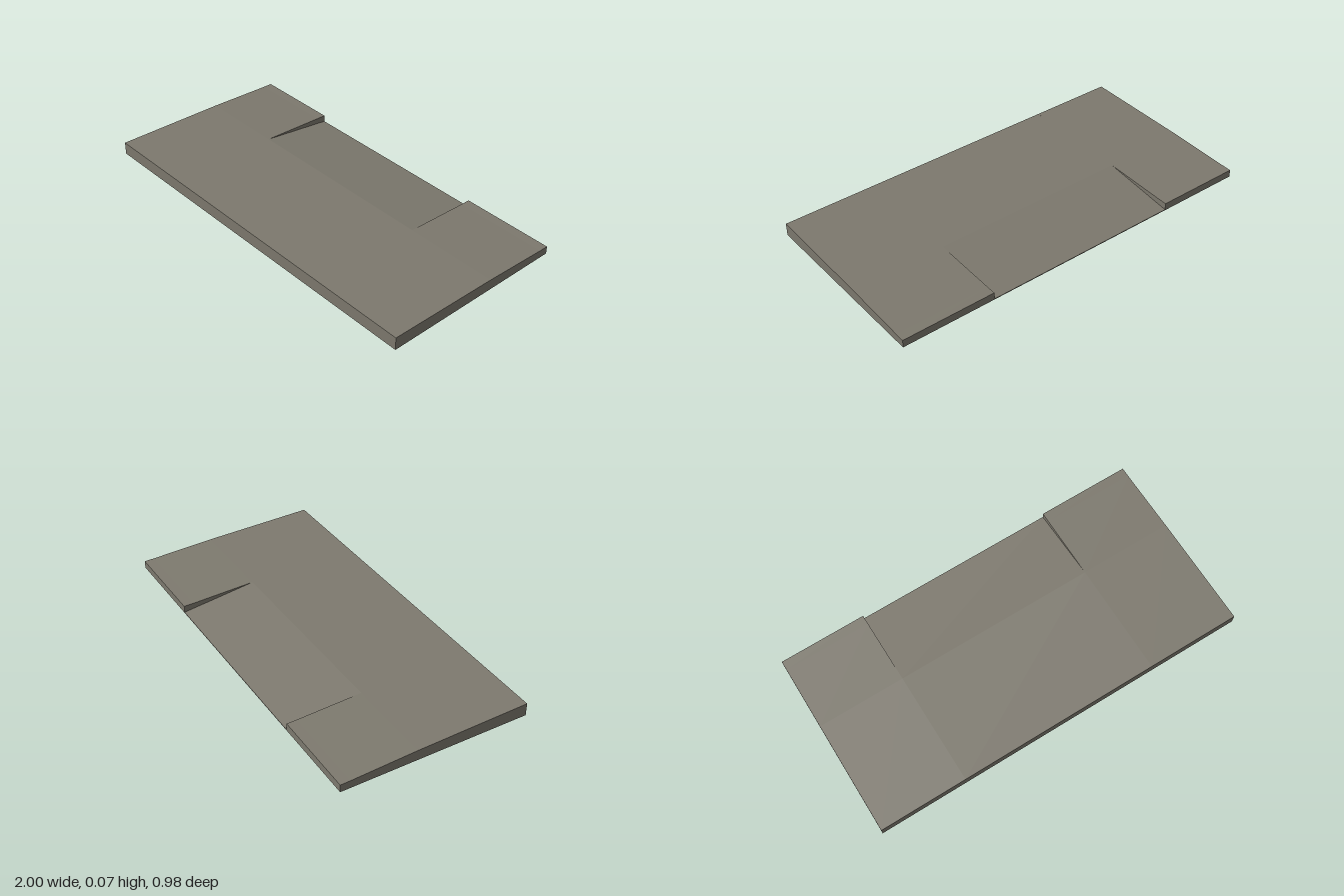
import * as THREE from 'three';

export function createModel() {
  const model = new THREE.Group();
  const stone = new THREE.MeshStandardMaterial({ color: 0x7d796e });
  stone.name = 'grey stone';

  // Extrudes a (z, y) side profile across the slab from x0 to x1
  function section(name, x0, x1, profile) {
    const shape = new THREE.Shape(profile.map(([z, y]) => new THREE.Vector2(z, y)));
    const geometry = new THREE.ExtrudeGeometry(shape, { depth: x1 - x0, bevelEnabled: false });
    geometry.rotateY(-Math.PI / 2).translate(x1, 0, 0);
    const mesh = new THREE.Mesh(geometry, stone);
    mesh.name = name;
    model.add(mesh);
  }

  // Gently sloping full-depth side portions
  const front = [[0.49, 0], [0.49, 0.067], [-0.1, 0.055]];
  const full = [[-0.49, 0], ...front, [-0.44, 0.041], [-0.49, 0.04]];
  section('rightSlab', -1, -0.545, full);
  section('leftSlab', 0.51, 1, full);

  // Middle portion, whose back half ramps down almost to the ground
  section('middleRamp', -0.545, 0.51, [[-0.49, 0], ...front, [-0.49, 0.004]]);

  return model;
}
